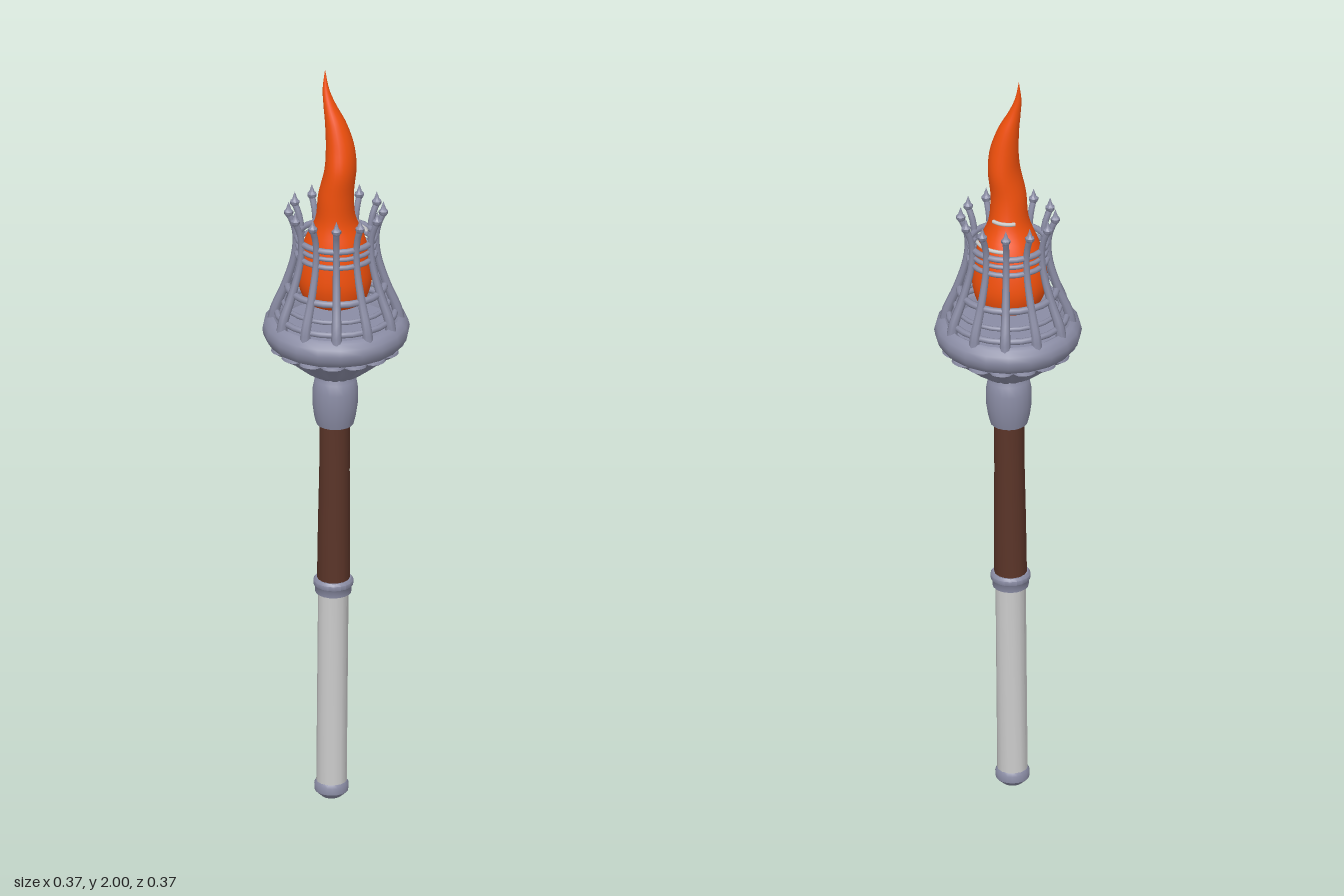
import * as THREE from 'three';
import { toCreasedNormals } from 'three/addons/utils/BufferGeometryUtils.js';

const mat = (color) => new THREE.MeshStandardMaterial({ color, side: THREE.DoubleSide });
const v2 = (pts) => pts.map(([x, y]) => new THREE.Vector2(x, y));

export function createModel() {
  const model = new THREE.Group();
  model.name = 'torch';
  const iron = mat(0x8a8ca4), leather = mat(0x5a3428), fire = mat(0xf2500c), grey = mat(0xcccccc);

  const add = (parent, name, geo, material) => {
    const mesh = new THREE.Mesh(geo, material);
    mesh.name = name;
    parent.add(mesh);
    return mesh;
  };
  const turned = (pts, seg = 20, crease = 0.7) =>
    toCreasedNormals(new THREE.LatheGeometry(v2(pts), seg), crease);

  // Handle, leaning very slightly
  const handle = new THREE.Group();
  handle.name = 'handle';
  handle.position.x = -0.012;
  handle.rotation.z = -0.009;
  model.add(handle);
  add(handle, 'pommel', turned([[0, 0], [0.025, 0.004], [0.036, 0.014], [0.042, 0.02], [0.043, 0.038], [0.038, 0.046], [0, 0.046]]), iron);
  add(handle, 'lowerShaft', turned([[0.038, 0.04], [0.038, 0.58]], 14), grey);
  add(handle, 'shaftRing', turned([[0.036, 0.562], [0.045, 0.565], [0.046, 0.582], [0.05, 0.587], [0.05, 0.598], [0.045, 0.604], [0.036, 0.604]]), iron);
  add(handle, 'grip', turned([[0.041, 0.6], [0.04, 0.75], [0.038, 0.9], [0.038, 1.04]], 14), leather);
  add(handle, 'collar', turned([[0.036, 1.025], [0.047, 1.03], [0.052, 1.05], [0.057, 1.085],
    [0.057, 1.125], [0.052, 1.152], [0.046, 1.162], [0.044, 1.19]]), iron);

  // Fluted cup: a turned shape whose radius is pinched between the petals
  const petals = 16;
  const cup = new THREE.LatheGeometry(v2([[0.04, 1.163], [0.058, 1.168], [0.085, 1.186], [0.112, 1.208],
    [0.138, 1.23], [0.158, 1.242], [0.169, 1.249], [0.167, 1.255], [0.14, 1.258]]), petals * 6);
  const cp = cup.attributes.position;
  for (let i = 0; i < cp.count; i++) {
    const a = Math.atan2(cp.getX(i), cp.getZ(i));
    const k = 0.9 + 0.1 * Math.sqrt(Math.abs(Math.sin(a * petals / 2)));
    cp.setXYZ(i, cp.getX(i) * k, cp.getY(i), cp.getZ(i) * k);
  }
  cup.computeVertexNormals();
  add(model, 'flutedCup', toCreasedNormals(cup, 0.7), iron);

  // Thick rounded rim with a stepped top and a floor
  add(model, 'bowlRim', turned([[0.1, 1.25], [0.15, 1.252], [0.17, 1.26], [0.181, 1.277], [0.184, 1.293], [0.18, 1.31],
    [0.168, 1.322], [0.158, 1.327], [0.148, 1.32], [0.142, 1.3], [0.12, 1.3], [0, 1.3]]), iron);

  // Cage hoops: [radius, height, thickness]
  const cage = new THREE.Group();
  cage.name = 'cage';
  model.add(cage);
  [[0.148, 1.338, 0.008], [0.132, 1.365, 0.006], [0.122, 1.41, 0.009], [0.099, 1.5, 0.007], [0.097, 1.522, 0.006], [0.097, 1.543, 0.008]]
    .forEach(([r, y, t]) => {
      const hoop = add(cage, 'hoop', new THREE.TorusGeometry(r, t, 8, 24), iron);
      hoop.rotation.x = Math.PI / 2;
      hoop.position.y = y;
    });

  // Cage bar: a tube that thins as it rises
  const curve = new THREE.CatmullRomCurve3([[0.157, 1.315], [0.152, 1.345], [0.127, 1.41], [0.104, 1.49],
    [0.1, 1.545], [0.107, 1.58], [0.118, 1.605]].map(([x, y]) => new THREE.Vector3(x, y, 0)));
  const steps = 18, sides = 8;
  const barGeo = new THREE.TubeGeometry(curve, steps, 1, sides);
  const bp = barGeo.attributes.position, p = new THREE.Vector3();
  for (let i = 0; i < bp.count; i++) {
    const t = Math.floor(i / (sides + 1)) / steps;
    const c = curve.getPointAt(t);
    p.fromBufferAttribute(bp, i).sub(c).multiplyScalar(0.008 + 0.006 * Math.pow(1 - t, 2)).add(c);
    bp.setXYZ(i, p.x, p.y, p.z);
  }
  const finialGeo = turned([[0, -0.004], [0.008, -0.002], [0.012, 0.004], [0.012, 0.01], [0.007, 0.015], [0.004, 0.024], [0, 0.036]], 8);
  for (let i = 0; i < 12; i++) {
    const bar = new THREE.Group();
    bar.name = 'cageBar';
    bar.rotation.y = (i + 0.5) * Math.PI / 6;
    add(bar, 'bar', barGeo, iron);
    add(bar, 'finial', finialGeo, iron).position.set(0.118, 1.602, 0);
    cage.add(bar);
  }

  // Flame sections: [height, centre x, centre z, radius x, radius z]
  const flame = (name, rows) => {
    const seg = 24, n = 60, pos = [], idx = [];
    const spline = new THREE.SplineCurve(v2(rows.map((r) => [r[1], r[2]])));
    const size = new THREE.CatmullRomCurve3(rows.map((r) => new THREE.Vector3(r[3], r[0], r[4])));
    for (let i = 0; i <= n; i++) {
      const c = spline.getPoint(i / n), s = size.getPoint(i / n);
      for (let j = 0; j < seg; j++) {
        const a = j / seg * Math.PI * 2;
        pos.push(c.x + Math.max(s.x, 0) * Math.sin(a), s.y, c.y + Math.max(s.z, 0) * Math.cos(a));
        if (i === n) continue;
        const b = i * seg + j, d = i * seg + (j + 1) % seg;
        idx.push(b, d, b + seg, d, d + seg, b + seg);
      }
    }
    const g = new THREE.BufferGeometry();
    g.setAttribute('position', new THREE.Float32BufferAttribute(pos, 3));
    g.setIndex(idx);
    g.computeVertexNormals();
    return add(model, name, g, fire);
  };
  flame('flame', [
    [1.365, -0.002, 0, 0.001, 0.001], [1.37, -0.002, 0, 0.07, 0.07], [1.42, -0.004, 0, 0.093, 0.09],
    [1.48, -0.004, 0.002, 0.091, 0.088], [1.54, 0, 0.006, 0.075, 0.076], [1.6, 0.002, 0.012, 0.05, 0.058],
    [1.67, 0.005, 0.018, 0.044, 0.052], [1.74, 0.016, 0.017, 0.039, 0.052], [1.8, 0.014, 0.014, 0.035, 0.042],
    [1.86, 0.002, 0.012, 0.026, 0.03], [1.91, -0.014, 0.011, 0.015, 0.017], [1.95, -0.024, 0.008, 0.008, 0.008],
    [2, -0.027, 0.004, 0, 0]]);

  // Pale slivers of inner flame on the back
  const sliver = (r, y, x, z, turn) => {
    const m = add(model, 'flameSliver', new THREE.TorusGeometry(r, 0.005, 6, 12, 1.2), grey);
    m.rotation.set(-Math.PI / 2, 0, turn);
    m.position.set(x, y, z);
  };
  sliver(0.05, 1.615, 0, 0.006, 1.0);
  sliver(0.078, 1.55, 0.004, 0.006, 0.6);

  return model;
}
